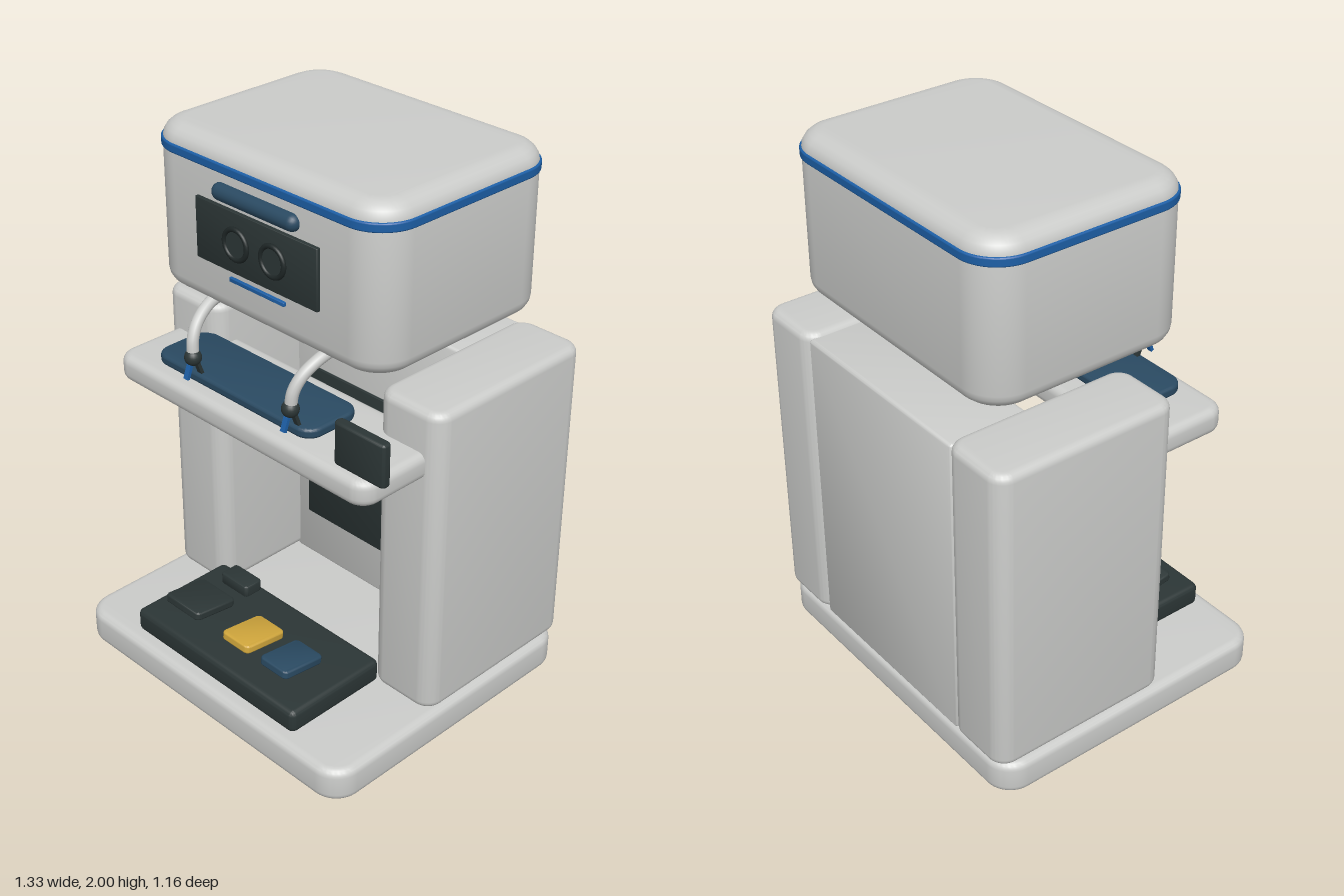
import * as THREE from 'three';
import { toCreasedNormals } from 'three/addons/utils/BufferGeometryUtils.js';

const material = (name, color) => {
  const m = new THREE.MeshStandardMaterial({ color });
  m.name = name;
  return m;
};

// Slab with rounded plan corners and softened top and bottom edges.
// x, y, z are [min, max] ranges; r is the plan radius, b the edge bevel.
function slabGeometry(w, h, d, r, b, bh = b) {
  const x = w / 2 - b, y = d / 2 - b;
  const c = Math.max(r - b, 0.002);
  const s = new THREE.Shape();
  s.absarc(x - c, y - c, c, 0, Math.PI / 2);
  s.absarc(-x + c, y - c, c, Math.PI / 2, Math.PI);
  s.absarc(-x + c, -y + c, c, Math.PI, Math.PI * 1.5);
  s.absarc(x - c, -y + c, c, Math.PI * 1.5, Math.PI * 2);
  s.closePath();
  const g = new THREE.ExtrudeGeometry(s, {
    depth: h - 2 * bh, bevelEnabled: true, bevelSize: b, bevelThickness: bh,
    bevelSegments: 5, curveSegments: 8,
  });
  g.translate(0, 0, bh - h / 2);
  g.rotateX(-Math.PI / 2);
  return toCreasedNormals(g, 0.6);
}

export function createModel() {
  const group = new THREE.Group();
  const shell = material('shell grey', 0xcbccca);
  const dark = material('charcoal', 0x2c3636);
  const black = material('lens black', 0x1f2727);
  const navy = material('navy', 0x2a4a62);
  const blue = material('accent blue', 0x1d5fa6);
  const yellow = material('yellow', 0xd0a63c);

  const add = (name, geometry, mat, parent = group) => {
    const mesh = new THREE.Mesh(geometry, mat);
    mesh.name = name;
    parent.add(mesh);
    return mesh;
  };
  const slab = (name, mat, [x0, x1], [y0, y1], [z0, z1], r, b, bh) => {
    const mesh = add(name, slabGeometry(x1 - x0, y1 - y0, z1 - z0, r, b, bh), mat);
    mesh.position.set((x0 + x1) / 2, (y0 + y1) / 2, (z0 + z1) / 2);
    return mesh;
  };

  // Cabinet
  slab('base', shell, [-0.665, 0.665], [0, 0.13], [-0.57, 0.58], 0.1, 0.03);
  slab('leftTower', shell, [0.38, 0.655], [0.135, 1.305], [-0.58, 0.13], 0.065, 0.03);
  slab('rightTower', shell, [-0.655, -0.38], [0.135, 1.305], [-0.58, 0.13], 0.065, 0.03);
  slab('backPanel', shell, [-0.4, 0.4], [0.13, 1.29], [-0.568, -0.26], 0.02, 0.015);
  slab('screen', dark, [-0.323, 0.32], [0.327, 0.965], [-0.262, -0.25], 0.005, 0.002);

  // Shelf, mat and tablet
  slab('shelf', shell, [-0.605, 0.6], [1.06, 1.155], [0.02, 0.405], 0.07, 0.03);
  slab('shelfMat', navy, [-0.46, 0.303], [1.158, 1.195], [0.11, 0.348], 0.06, 0.012);
  slab('tablet', dark, [0.44, 0.657], [1.162, 1.318], [0.34, 0.38], 0.018, 0.01);

  // Control deck with its keys
  slab('deck', dark, [-0.41, 0.407], [0.132, 0.22], [0.11, 0.53], 0.025, 0.02);
  const keys = [
    ['darkKey', dark, -0.35, -0.17],
    ['yellowKey', yellow, -0.045, 0.092],
    ['navyKey', navy, 0.15, 0.285],
  ];
  for (const [name, mat, x0, x1] of keys) {
    slab(name, mat, [x0, x1], [0.234, 0.266], [0.264, 0.446], 0.02, 0.008).rotation.x = -0.13;
  }
  slab('rearKey', dark, [-0.32, -0.18], [0.218, 0.264], [0.125, 0.205], 0.015, 0.008);

  // Head
  slab('head', shell, [-0.535, 0.535], [1.42, 2], [-0.52, 0.275], 0.14, 0.07, 0.06);
  slab('headBand', blue, [-0.541, 0.541], [1.914, 1.946], [-0.526, 0.281], 0.146, 0.006);
  slab('facePlate', dark, [-0.281, 0.279], [1.593, 1.807], [0.268, 0.289], 0.006, 0.003);
  slab('mouthLine', blue, [-0.13, 0.126], [1.554, 1.569], [0.27, 0.286], 0.005, 0.003);

  const visor = add('visorBar', new THREE.CapsuleGeometry(0.03, 0.325, 8, 20), navy);
  visor.rotation.z = Math.PI / 2;
  visor.position.set(-0.002, 1.854, 0.278);

  for (const side of [-1, 1]) {
    // Eyes
    const eye = new THREE.Group();
    eye.name = side > 0 ? 'leftEye' : 'rightEye';
    eye.position.set(side * 0.085, 1.7, 0.289);
    add('eyeRim', new THREE.TorusGeometry(0.052, 0.009, 10, 32), black, eye).position.z = 0.004;
    const lens = add('lens', new THREE.CylinderGeometry(0.045, 0.045, 0.012, 32), dark, eye);
    lens.rotation.x = Math.PI / 2;
    group.add(eye);

    // Arms curving from under the head to the grippers
    const arm = new THREE.Group();
    arm.name = side > 0 ? 'leftArm' : 'rightArm';
    const path = new THREE.CatmullRomCurve3([
      [0.268, 1.435, 0.19], [0.262, 1.415, 0.265], [0.25, 1.375, 0.325],
      [0.24, 1.325, 0.355], [0.234, 1.27, 0.362],
    ].map(([x, y, z]) => new THREE.Vector3(side * x, y, z)));
    add('armTube', new THREE.TubeGeometry(path, 28, 0.021, 14), shell, arm);
    const cuff = add('wristCuff', new THREE.SphereGeometry(0.03, 20, 14), dark, arm);
    cuff.position.set(side * 0.234, 1.265, 0.362);

    // Gripper fingers spread forward and back
    for (const f of [-1, 1]) {
      const finger = add('gripperFinger', new THREE.BoxGeometry(0.02, 0.07, 0.012), f > 0 ? blue : dark, arm);
      finger.position.set(side * 0.234, 1.226, 0.362 + f * 0.02);
      finger.rotation.x = -f * 0.35;
    }
    group.add(arm);
  }
  return group;
}
